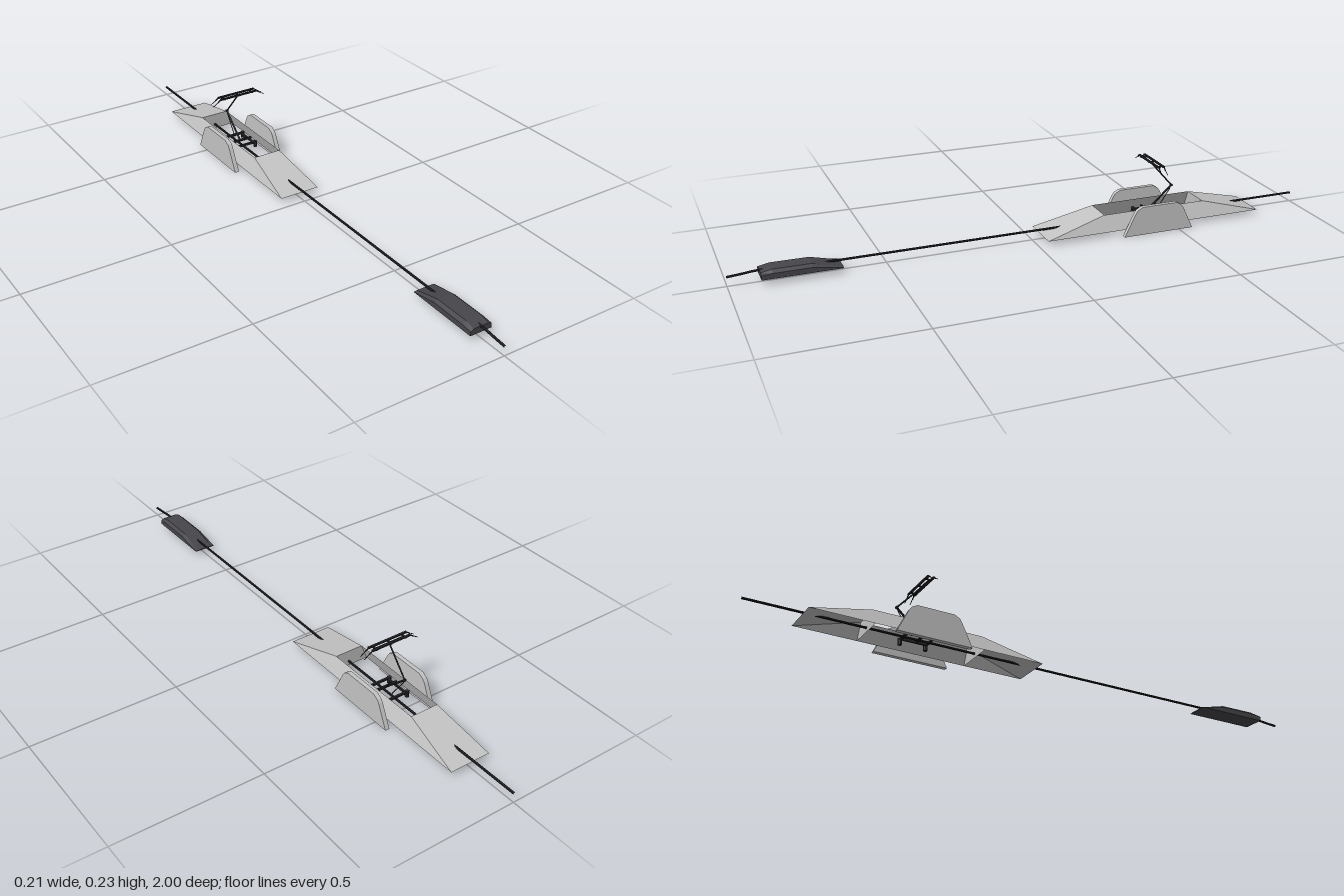
import * as THREE from 'three';

const paint = (name, color, side = THREE.FrontSide) => {
  const m = new THREE.MeshStandardMaterial({ color, side, flatShading: true });
  m.name = name;
  return m;
};

export function createModel() {
  const grey = paint('light grey panels', 0xc4c4c4, THREE.DoubleSide);
  const dark = paint('dark grey housing', 0x46464b);
  const black = paint('near black metal', 0x26262a);
  const group = new THREE.Group();

  const add = (name, geometry, material, parent = group) => {
    const mesh = new THREE.Mesh(geometry, material);
    mesh.name = name;
    parent.add(mesh);
    return mesh;
  };

  // Flat four-cornered panel
  const quad = (name, a, b, c, d) => {
    const g = new THREE.BufferGeometry();
    g.setAttribute('position', new THREE.Float32BufferAttribute([...a, ...b, ...c, ...d], 3));
    g.setIndex([0, 1, 2, 0, 2, 3]);
    g.computeVertexNormals();
    return add(name, g, grey);
  };

  // Round rod between two points
  const rod = (name, a, b, r, parent, sides = 8) => {
    const p = new THREE.Vector3(...a), q = new THREE.Vector3(...b);
    const d = q.clone().sub(p);
    const mesh = add(name, new THREE.CylinderGeometry(r, r, d.length(), sides), black, parent);
    mesh.position.copy(p).add(q).multiplyScalar(0.5);
    mesh.quaternion.setFromUnitVectors(new THREE.Vector3(0, 1, 0), d.normalize());
    return mesh;
  };

  const box = (name, w, h, d, x, y, z, parent) => {
    add(name, new THREE.BoxGeometry(w, h, d), black, parent).position.set(x, y, z);
  };

  // Open fairing: two ramps, two end walls and two leaning sides
  const low = 0.018, high = 0.073, wide = 0.072, narrow = 0.05;
  for (const [end, zLow, zHigh] of [['front', -0.03, -0.24], ['back', -0.82, -0.61]]) {
    const ramp = [[-wide, low, zLow], [wide, low, zLow], [narrow, high, zHigh], [-narrow, high, zHigh]];
    const wall = [[-wide, low, zHigh], [wide, low, zHigh], [narrow, high, zHigh], [-narrow, high, zHigh]];
    if (end === 'back') { ramp.reverse(); }
    else { wall.reverse(); }
    quad(end + 'Ramp', ...ramp);
    quad(end + 'InnerWall', ...wall);
  }
  for (const s of [1, -1]) {
    const side = [[s * wide, low, -0.03], [s * wide, low, -0.82],
      [s * narrow, high, -0.61], [s * narrow, high, -0.24]];
    if (s < 0) side.reverse();
    quad(s > 0 ? 'leftFairingSide' : 'rightFairingSide', ...side);
  }

  // Upright shield plates, profile drawn in z and y
  const shield = new THREE.Shape([[-0.296, 0.001], [-0.335, 0.08], [-0.342, 0.09], [-0.36, 0.1],
    [-0.488, 0.1], [-0.505, 0.09], [-0.513, 0.08], [-0.55, 0.001]].map(p => new THREE.Vector2(-p[0], p[1])));
  for (const s of [1, -1]) {
    const g = new THREE.ExtrudeGeometry(shield, { depth: 0.015, bevelEnabled: false });
    g.rotateY(Math.PI / 2);
    add(s > 0 ? 'leftShield' : 'rightShield', g, grey).position.x = s * 0.0885 - 0.0075;
  }

  // Long cable, lifted over the front of the insulator housing
  const path = new THREE.CurvePath();
  const points = [[0.033, -1], [0.033, 0.7], [0.04, 0.85], [0.04, 0.91], [0.035, 0.96], [0.032, 1]]
    .map(([y, z]) => new THREE.Vector3(0, y, z));
  for (let i = 1; i < points.length; i++) path.add(new THREE.LineCurve3(points[i - 1], points[i]));
  add('cable', new THREE.TubeGeometry(path, 100, 0.004, 8), black);

  // Insulator housing: chamfered cross-sections along z, closed at both ends
  const sections = [[0.645, 0.021, 0.023], [0.74, 0.038, 0.047], [0.865, 0.038, 0.048], [0.9, 0.035, 0.041]];
  const ring = (z, shoulder, top) => [[-0.038, 0.02], [0.038, 0.02], [0.038, shoulder],
    [0.027, top], [-0.027, top], [-0.038, shoulder]].map(([x, y]) => [x, y, z]);
  const rings = sections.map(s => ring(...s));
  const index = [];
  for (let i = 0; i < 3; i++) {
    for (let j = 0; j < 6; j++) {
      const a = i * 6 + j, b = i * 6 + (j + 1) % 6;
      index.push(a, b, b + 6, a, b + 6, a + 6);
    }
  }
  for (let j = 1; j < 5; j++) index.push(0, j + 1, j, 18, 18 + j, 19 + j);
  const hull = new THREE.BufferGeometry();
  hull.setAttribute('position', new THREE.Float32BufferAttribute(rings.flat(2), 3));
  hull.setIndex(index);
  const housing = hull.toNonIndexed();
  housing.computeVertexNormals();
  add('insulatorHousing', housing, dark);

  // Pantograph base frame on four small insulators
  const base = new THREE.Group();
  base.name = 'pantographBase';
  group.add(base);
  for (const z of [-0.392, -0.48]) {
    box('crossRail', 0.09, 0.007, 0.007, 0, 0.042, z, base);
    for (const x of [-0.043, 0.043]) {
      rod('insulator', [x, 0.024, z], [x, 0.046, z], 0.007, base, 10);
    }
  }
  for (const x of [-0.036, 0.036]) box('sideRail', 0.006, 0.007, 0.095, x, 0.042, -0.436, base);
  rod('pivotShaft', [-0.045, 0.046, -0.425], [0.045, 0.046, -0.425], 0.005, base);

  // Folding arm
  const arm = new THREE.Group();
  arm.name = 'pantographArm';
  group.add(arm);
  const knee = [0, 0.127, -0.515];
  rod('lowerArm', [0, 0.046, -0.425], knee, 0.0035, arm);
  rod('controlRod', [0, 0.042, -0.46], [0, 0.117, -0.511], 0.0015, arm);
  rod('kneeJoint', [-0.004, ...knee.slice(1)], [0.004, ...knee.slice(1)], 0.0045, arm);
  rod('upperArm', knee, [0, 0.217, -0.435], 0.0025, arm);

  // Contact head with two strips and drooping horns
  const head = new THREE.Group();
  head.name = 'contactHead';
  group.add(head);
  box('headBeam', 0.12, 0.004, 0.006, 0, 0.218, -0.435, head);
  for (const z of [-0.426, -0.445]) {
    box('contactStrip', 0.146, 0.005, 0.007, 0, 0.224, z, head);
    for (const s of [1, -1]) {
      rod('shoulder', [s * 0.072, 0.224, z], [s * 0.084, 0.215, z], 0.0022, head, 6);
      rod('horn', [s * 0.083, 0.216, z], [s * 0.102, 0.204, z], 0.0012, head, 6);
    }
  }
  for (const x of [-0.055, 0, 0.055]) box('headBracket', 0.005, 0.004, 0.024, x, 0.221, -0.4355, head);

  return group;
}
